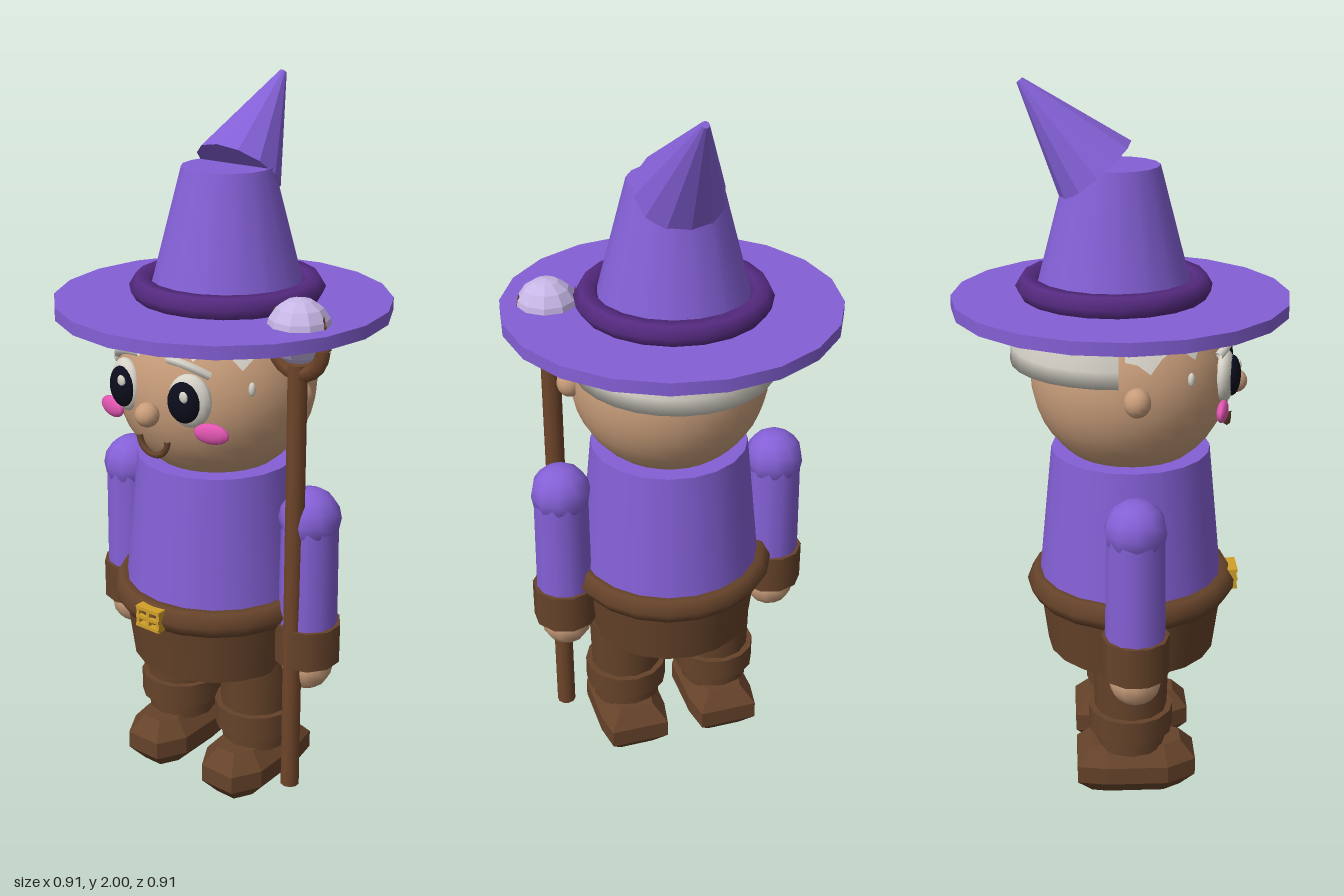
import * as THREE from 'three';

const mat = (name, color, extra = {}) => {
  const m = new THREE.MeshStandardMaterial({ color, ...extra });
  m.name = name;
  return m;
};

export function createModel() {
  const purple = mat('purple cloth', 0x8460d6);
  const plum = mat('dark purple band', 0x552a80);
  const skin = mat('skin', 0xc89d7a);
  const brown = mat('brown leather', 0x66432a);
  const wood = mat('staff wood', 0x6e452a);
  const white = mat('white hair', 0xd6d2c8, { side: THREE.DoubleSide });
  const crystal = mat('pale crystal', 0xc6b6e6);
  const pink = mat('pink cheeks', 0xe055b0);
  const gold = mat('gold', 0xd0a028);
  const black = mat('dark pupil', 0x0b0d1c);

  const root = new THREE.Group();
  const add = (name, geo, material, x = 0, y = 0, z = 0) => {
    const m = new THREE.Mesh(geo, material);
    m.name = name;
    m.position.set(x, y, z);
    root.add(m);
    return m;
  };
  // truncated cone between two heights
  const drum = (name, material, rTop, rBottom, y0, y1, x, z, sides = 16) =>
    add(name, new THREE.CylinderGeometry(rTop, rBottom, y1 - y0, sides), material, x, (y0 + y1) / 2, z);
  const ball = (name, material, r, x, y, z, sx = 1, sy = 1, sz = 1, w = 14, h = 10) => {
    const m = add(name, new THREE.SphereGeometry(r, w, h), material, x, y, z);
    m.scale.set(sx, sy, sz);
    return m;
  };
  const ring = (name, material, r, tube, y, z) =>
    add(name, new THREE.TorusGeometry(r, tube, 6, 20).rotateX(Math.PI / 2), material, 0, y, z);
  const faceted = (geo) => {
    const g = geo.index ? geo.toNonIndexed() : geo;
    g.computeVertexNormals();
    return g;
  };

  // hat
  drum('hatBrim', purple, 0.455, 0.455, 1.4, 1.435, 0, 0, 20);
  drum('hatCrown', purple, 0.122, 0.217, 1.42, 1.78, 0, -0.018, 16);
  ring('hatBand', plum, 0.23, 0.034, 1.46, -0.018);
  const tip = add('hatTip', faceted(new THREE.CylinderGeometry(0.01, 0.12, 0.3, 12)), purple, 0, 1.879, -0.161);
  tip.rotation.x = -0.693;

  // head
  const HY = 1.215, HZ = 0.027, HR = 0.274;
  ball('head', skin, HR, 0, HY, HZ, 1, 1, 1, 28, 20);
  ball('nose', skin, 0.033, 0, 1.185, 0.315);

  // hair at the back
  const hairProfile = [[0.2, 1.255], [0.283, 1.255], [0.28, 1.3], [0.268, 1.36], [0.25, 1.41]];
  add('backHair', new THREE.LatheGeometry(hairProfile.map((p) => new THREE.Vector2(...p)),
    14, Math.PI / 2, Math.PI), white, 0, 0, -0.018).scale.x = 0.97;

  // jagged fringe following the head surface, one strip per side
  const fringe = (side) => {
    const pos = [], idx = [], n = 12, rows = 3;
    const R = HR + 0.005;
    for (let i = 0; i <= n; i++) {
      const a = side * (0.18 + (i / n) * 1.5);
      const low = 1.375 - 0.065 * (i / n) - (i % 4 === 2 ? 0.03 : i % 4 === 0 ? -0.012 : 0);
      for (let j = 0; j <= rows; j++) {
        const y = low + (1.415 - low) * (j / rows);
        const r = Math.sqrt(R * R - (y - HY) ** 2);
        pos.push(Math.sin(a) * r, y, HZ + Math.cos(a) * r);
        if (i < n && j < rows) {
          const k = i * (rows + 1) + j, l = k + rows + 1;
          if (side > 0) idx.push(k, l, k + 1, l, l + 1, k + 1);
          else idx.push(k, k + 1, l, l, k + 1, l + 1);
        }
      }
    }
    const g = new THREE.BufferGeometry();
    g.setAttribute('position', new THREE.Float32BufferAttribute(pos, 3));
    g.setIndex(idx);
    g.computeVertexNormals();
    return g;
  };

  // smile
  add('mouth', new THREE.TorusGeometry(0.048, 0.009, 6, 14, Math.PI).rotateZ(Math.PI), brown, 0, 1.115, 0.292);
  
  // torso, belt and tunic skirt
  drum('torso', purple, 0.221, 0.262, 0.58, 1.0, 0, 0.027, 20);
  drum('skirt', brown, 0.266, 0.24, 0.4, 0.6, 0, 0.03, 20);
  ring('belt', brown, 0.257, 0.041, 0.597, 0.03);
  for (const y of [0.571, 0.597, 0.623])
    add('buckleBar', new THREE.BoxGeometry(0.08, 0.01, 0.03), gold, 0, y, 0.318);
  for (const x of [-0.036, 0, 0.036])
    add('bucklePost', new THREE.BoxGeometry(0.01, 0.06, 0.03), gold, x, 0.597, 0.315);

  // chamfered shoe block
  const shoeShape = new THREE.Shape([[-0.05, -0.125], [0.05, -0.125], [0.058, -0.08], [0.058, 0.08],
    [0.03, 0.13], [-0.03, 0.13], [-0.058, 0.08], [-0.058, -0.08]].map((p) => new THREE.Vector2(p[0], -p[1])));
  const shoe = faceted(new THREE.ExtrudeGeometry(shoeShape, {
    depth: 0.052, bevelEnabled: true, bevelSegments: 1, bevelSize: 0.042, bevelThickness: 0.049,
  }).rotateX(-Math.PI / 2));

  for (const s of [-1, 1]) {
    const side = s > 0 ? 'left' : 'right';
    // face details
    ball(side + 'Ear', skin, 0.036, s * 0.277, 1.22, 0.03, 1, 1.1, 1);
    ball(side + 'EyeWhite', white, 0.06, s * 0.108, 1.235, 0.272, 1, 1.2, 0.5, 18, 12).rotation.y = s * 0.3;
    ball(side + 'Pupil', black, 0.046, s * 0.105, 1.235, 0.293, 1, 1.2, 0.5, 18, 12).rotation.y = s * 0.2;
    ball(side + 'EyeGlint', white, 0.014, s * 0.105 + 0.016, 1.258, 0.313, 1, 1.1, 0.4, 10, 8);
    const brow = add(side + 'Brow', new THREE.TubeGeometry(new THREE.QuadraticBezierCurve3(
      new THREE.Vector3(s * 0.05, 1.337, 0.275), new THREE.Vector3(s * 0.11, 1.345, 0.29),
      new THREE.Vector3(s * 0.155, 1.305, 0.24)), 8, 0.012, 6), white);
    brow.position.z = 0.01;
    ball(side + 'Cheek', pink, 0.05, s * 0.17, 1.156, 0.262, 1, 0.56, 0.3).rotation.y = s * 0.25;
    ball(side + 'Sideburn', white, 0.012, s * 0.231, 1.265, 0.172, 0.8, 1.6, 0.8, 8, 6);
    add(side + 'Fringe', fringe(s), white);

    // arm
    ball(side + 'Shoulder', purple, 0.085, s * 0.317, 0.882, 0.025, 1, 1, 1, 10, 8);
    drum(side + 'Sleeve', purple, 0.078, 0.082, 0.55, 0.88, s * 0.317, 0.025, 12);
    drum(side + 'Cuff', brown, 0.093, 0.093, 0.46, 0.575, s * 0.317, 0.025, 10);
    ball(side + 'Hand', skin, 0.073, s * 0.317, 0.44, 0.025, 1, 1, 1, 12, 8);

    // leg and boot
    drum(side + 'Leg', brown, 0.108, 0.1, 0.14, 0.42, s * 0.14, 0.022, 12);
    drum(side + 'BootCuff', brown, 0.12, 0.12, 0.19, 0.26, s * 0.14, 0.022, 14);
    add(side + 'Shoe', shoe, brown, s * 0.14, 0.049, 0.034);

    // staff prong tips
    add('staffProngTip', new THREE.ConeGeometry(0.022, 0.09, 6), wood, 0.314 + s * 0.076, 1.425, 0.091);
  }

  // staff with orb held in a forked head
  drum('staff', wood, 0.027, 0.027, 0.08, 1.33, 0.314, 0.091, 10);
  add('staffFork', new THREE.TorusGeometry(0.076, 0.022, 6, 10, Math.PI).rotateZ(Math.PI), wood, 0.314, 1.38, 0.091);
  add('staffOrb', faceted(new THREE.SphereGeometry(0.085, 10, 8)), crystal, 0.316, 1.418, 0.09);

  return root;
}
